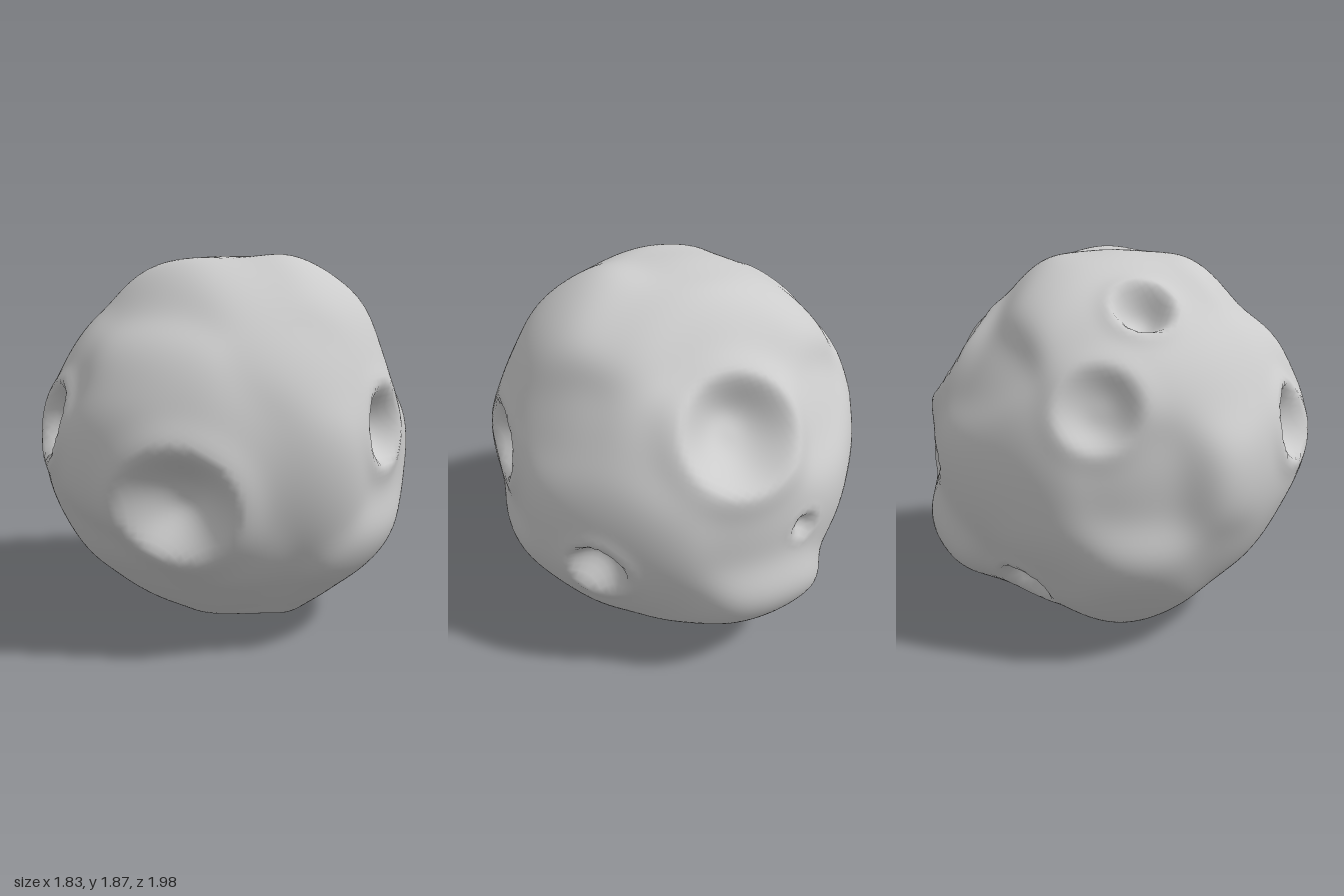
import * as THREE from 'three';
import { mergeVertices } from 'three/addons/utils/BufferGeometryUtils.js';

const V = (x, y, z) => new THREE.Vector3(x, y, z);

// Rings of radii every 30 degrees, each in the plane facing a direction
const rings = [
  { facing: V(0, 0, 1), up: V(0, 1, 0), radii: [0.92, 0.95, 1.03, 0.93, 0.93, 0.91, 0.86, 0.99, 1.03, 0.92, 0.99, 1.02] },
  { facing: V(1, 0, 0), up: V(0, 1, 0), radii: [0.93, 0.97, 0.99, 0.93, 0.99, 0.98, 1.0, 0.94, 0.93, 0.92, 0.95, 1.07] },
  { facing: V(0, 1, 0), up: V(0, 0, -1), radii: [0.92, 0.96, 0.97, 0.93, 0.95, 0.9, 0.87, 1.0, 0.98, 1.0, 0.98, 1.0] },
  { facing: V(0.612, 0.5, 0.612), up: V(-0.354, 0.866, -0.354), radii: [0.93, 0.92, 0.83, 0.95, 0.87, 0.91, 0.93, 0.93, 0.91, 0.93, 0.96, 0.98] },
  { facing: V(-0.612, 0.5, -0.612), up: V(0.354, 0.866, 0.354), radii: [0.92, 0.92, 0.87, 0.95, 1.02, 0.9, 0.93, 0.95, 1.0, 0.93, 0.97, 0.93] },
  { facing: V(0.612, -0.5, -0.612), up: V(0.354, 0.866, -0.354), radii: [0.89, 0.87, 0.87, 0.95, 0.98, 0.95, 0.9, 0.95, 0.88, 0.91, 0.95, 0.92] },
];

// Control directions with their radii
const controls = rings.flatMap(({ facing, up, radii }) => {
  const right = up.clone().cross(facing);
  return radii.map((radius, i) => {
    const a = (i * Math.PI) / 6;
    const dir = right.clone().multiplyScalar(Math.cos(a)).addScaledVector(up, Math.sin(a)).normalize();
    return { dir, radius };
  });
});

// Craters: centre direction, angular radius, depth
const craters = [
  [V(-0.45, 0.14, 0.76), 0.18, 0.15],
  [V(0.29, -0.17, 0.85), 0.26, 0.21],
  [V(0.91, 0.13, 0.04), 0.19, 0.13],
  [V(0.67, -0.25, -0.63), 0.15, 0.11],
  [V(0.05, 0.43, -0.79), 0.27, 0.19],
  [V(-0.53, 0.7, 0.06), 0.15, 0.12],
  [V(-0.8, 0.32, -0.17), 0.2, 0.08],
  [V(-0.23, -0.06, -0.88), 0.07, 0.04],
  [V(-0.49, -0.6, -0.49), 0.14, 0.1],
  [V(0.18, -0.86, 0.1), 0.23, 0.12],
].map(([dir, size, depth]) => ({ dir: dir.normalize(), size, depth }));

// Smooth blend of the control radii around a direction
function bodyRadius(dir) {
  let sum = 0, total = 0;
  for (const c of controls) {
    const w = Math.exp(36 * (c.dir.dot(dir) - 1));
    sum += w * c.radius;
    total += w;
  }
  return sum / total;
}

// Steep rounded bowl with a low raised rim
function craterOffset(dir) {
  let offset = 0;
  for (const { dir: centre, size, depth } of craters) {
    const t = centre.angleTo(dir) / size;
    if (t > 2.5) continue;
    const bowl = (1 - Math.min(t / 1.1, 1) ** 2.5) ** 1.5;
    const rim = Math.exp(-(((t - 1.15) / 0.35) ** 2));
    offset += depth * (0.1 * rim - bowl);
  }
  return offset;
}

export function createModel() {
  const group = new THREE.Group();
  group.name = 'asteroid';

  // Cratered rock body
  let geometry = new THREE.IcosahedronGeometry(1, 36);
  geometry.deleteAttribute('normal');
  geometry.deleteAttribute('uv');
  geometry = mergeVertices(geometry, 1e-4);
  const pos = geometry.attributes.position;
  const dir = new THREE.Vector3();
  for (let i = 0; i < pos.count; i++) {
    dir.fromBufferAttribute(pos, i).normalize();
    const r = bodyRadius(dir) + craterOffset(dir);
    pos.setXYZ(i, dir.x * r, dir.y * r, dir.z * r);
  }

  // Centred and standing on the ground
  geometry.computeBoundingBox();
  const centre = geometry.boundingBox.getCenter(new THREE.Vector3());
  geometry.translate(-centre.x, -geometry.boundingBox.min.y, -centre.z);
  geometry.computeVertexNormals();

  const rock = new THREE.Mesh(geometry, new THREE.MeshStandardMaterial({ color: 0xcccccc }));
  rock.name = 'rockBody';
  group.add(rock);
  return group;
}
